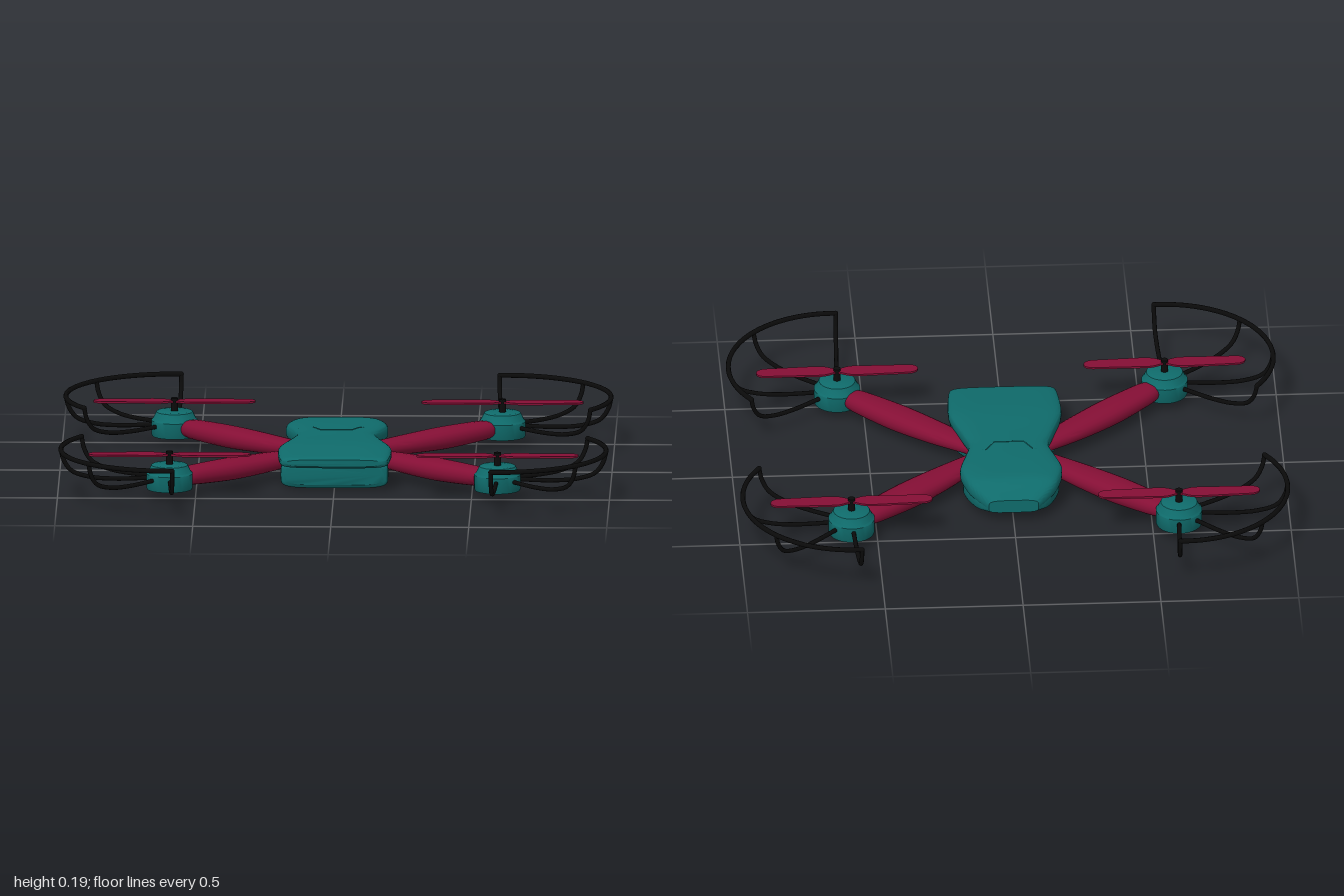
import * as THREE from 'three';
import { toCreasedNormals } from 'three/addons/utils/BufferGeometryUtils.js';

const mat = (name, color) => {
  const m = new THREE.MeshStandardMaterial({ color });
  m.name = name;
  return m;
};

// Closed loft along z through sections [z, halfWidth, yBottom, yTop], listed front to back
function loft(sections, power, sides = 32, steps = 24) {
  const along = new THREE.CatmullRomCurve3(sections.map(s => new THREE.Vector3(s[0], 0, 0)), false, 'catmullrom', 0.4);
  const size = new THREE.CatmullRomCurve3(sections.map(s => new THREE.Vector3(s[1], s[2], s[3])), false, 'catmullrom', 0.4);
  const pos = [], index = [];
  const soft = v => Math.sign(v) * Math.pow(Math.abs(v), power);
  for (let i = 0; i <= steps; i++) {
    const z = along.getPoint(i / steps).x, s = size.getPoint(i / steps);
    for (let j = 0; j < sides; j++) {
      const a = j / sides * Math.PI * 2;
      pos.push(s.x * soft(Math.cos(a)), (s.y + s.z) / 2 + (s.z - s.y) / 2 * soft(Math.sin(a)), z);
    }
  }
  for (let i = 0; i < steps; i++) for (let j = 0; j < sides; j++) {
    const k = (j + 1) % sides, a = i * sides + j, b = i * sides + k;
    index.push(a, a + sides, b, b, a + sides, b + sides);
  }
  // end caps
  const last = steps * sides;
  for (let j = 1; j < sides - 1; j++) index.push(0, j, j + 1, last, last + j + 1, last + j);
  const g = new THREE.BufferGeometry();
  g.setAttribute('position', new THREE.Float32BufferAttribute(pos, 3));
  g.setIndex(index);
  return toCreasedNormals(g, 0.6);
}

export function createModel() {
  const model = new THREE.Group();
  model.name = 'quadcopter';
  const teal = mat('teal shell', 0x0f6b6b);
  const maroon = mat('maroon', 0x850f35);
  const black = mat('black', 0x0a0a0a);

  const add = (parent, name, geometry, material) => {
    const m = new THREE.Mesh(geometry, material);
    m.name = name;
    parent.add(m);
    return m;
  };
  const tube = (parent, name, pts, r, material, segs = 24) =>
    add(parent, name, new THREE.TubeGeometry(new THREE.CatmullRomCurve3(pts), segs, r, 8), material);

  // body: upper shell overhangs the lower one at the front
  add(model, 'upperShell', loft([
    [0.395, 0.17, 0.1, 0.125], [0.37, 0.195, 0.09, 0.134], [0.2, 0.205, 0.08, 0.146],
    [0.05, 0.165, 0.075, 0.146], [-0.045, 0.145, 0.075, 0.146], [-0.2, 0.185, 0.07, 0.146],
    [-0.3, 0.165, 0.065, 0.142], [-0.345, 0.135, 0.06, 0.122], [-0.385, 0.09, 0.045, 0.092],
  ], 0.5, 40, 40), teal);
  add(model, 'lowerShell', loft([
    [0.335, 0.175, 0.02, 0.1], [0.31, 0.195, 0.005, 0.1], [0.12, 0.185, 0.004, 0.1],
    [0, 0.14, 0.028, 0.1], [-0.2, 0.175, 0.012, 0.1], [-0.33, 0.14, 0.028, 0.1],
    [-0.385, 0.09, 0.042, 0.09],
  ], 0.4, 40, 36), teal);

  // seam across the top of the shell
  const seam = [[-0.14, -0.1, 0.136], [-0.085, -0.1, 0.144], [-0.055, -0.045, 0.145],
    [0.055, -0.045, 0.145], [0.085, -0.1, 0.144], [0.14, -0.1, 0.136]];
  const seamPath = new THREE.CurvePath();
  for (let i = 0; i < seam.length - 1; i++) {
    const [p, q] = [seam[i], seam[i + 1]].map(([x, z, y]) => new THREE.Vector3(x, y, z));
    seamPath.add(new THREE.LineCurve3(p, q));
  }
  add(model, 'topSeam', new THREE.TubeGeometry(seamPath, 60, 0.003, 6), teal);

  // shared corner geometry
  const armGeo = loft([
    [0.61, 0.038, 0.045, 0.098], [0.56, 0.05, 0.037, 0.105], [0.38, 0.06, 0.03, 0.107],
    [0.2, 0.054, 0.036, 0.102], [0, 0.035, 0.05, 0.095],
  ], 0.85, 20, 20);
  const motorGeo = toCreasedNormals(new THREE.LatheGeometry([
    [0, 0.035], [0.082, 0.035], [0.084, 0.04], [0.084, 0.092], [0.078, 0.098],
    [0.066, 0.123], [0.06, 0.126], [0, 0.126],
  ].map(p => new THREE.Vector2(...p)), 32), 0.5);
  const shaftGeo = new THREE.CylinderGeometry(0.013, 0.013, 0.05, 16);

  const blade = new THREE.Shape();
  blade.moveTo(0, -0.01);
  blade.bezierCurveTo(0.03, -0.02, 0.03, -0.034, 0.08, -0.034);
  blade.lineTo(0.26, -0.026);
  blade.bezierCurveTo(0.305, -0.022, 0.305, 0.03, 0.26, 0.03);
  blade.lineTo(0.06, 0.032);
  blade.bezierCurveTo(0.03, 0.03, 0.02, 0.015, 0, 0.01);
  const bladeGeo = new THREE.ExtrudeGeometry(blade, { depth: 0.007, bevelEnabled: false, curveSegments: 10 });
  bladeGeo.rotateX(-Math.PI / 2);

  const cx = 0.594, cz = 0.48, R = 0.394;
  const rad = d => d * Math.PI / 180;
  for (const sx of [1, -1]) for (const sz of [1, -1]) {
    const corner = new THREE.Group();
    corner.name = (sz > 0 ? 'front' : 'rear') + (sx > 0 ? 'Left' : 'Right') + 'Rotor';
    corner.position.set(sx * cx, 0, sz * cz);
    model.add(corner);

    const arm = add(model, 'arm', armGeo, maroon);
    arm.position.set(sx * 0.1, 0, sz * 0.03);
    arm.rotation.y = Math.atan2(sx * (cx - 0.1), sz * (cz - 0.03));

    add(corner, 'motor', motorGeo, teal);
    add(corner, 'shaft', shaftGeo, black).position.y = 0.148;
    for (const turn of [0, Math.PI]) {
      const b = add(corner, 'propellerBlade', bladeGeo, maroon);
      b.position.y = 0.157;
      b.rotation.y = turn;
    }

    // propeller guard: rim arc on curved spokes
    const at = (deg, r, y) => new THREE.Vector3(sx * r * Math.cos(rad(deg)), y, sz * r * Math.sin(rad(deg)));
    const rim = [];
    for (let i = 0; i <= 16; i++) rim.push(at(-35 + 127.5 * i / 16, R, 0.18));
    tube(corner, 'guardRim', rim, 0.009, black, 48);
    for (const deg of [-35, 0, 43, 92.5]) {
      tube(corner, 'guardSpoke', [[0.05, 0.076], [0.2, 0.071], [0.29, 0.078], [0.355, 0.1], [0.384, 0.14], [R, 0.18]]
        .map(([r, y]) => at(deg, r, y)), 0.008, black);
    }
    // rounded rim ends
    for (const deg of [-35, 92.5]) {
      add(corner, 'rimEnd', new THREE.SphereGeometry(0.009, 10, 8), black).position.copy(at(deg, R, 0.18));
    }
  }
  return model;
}
